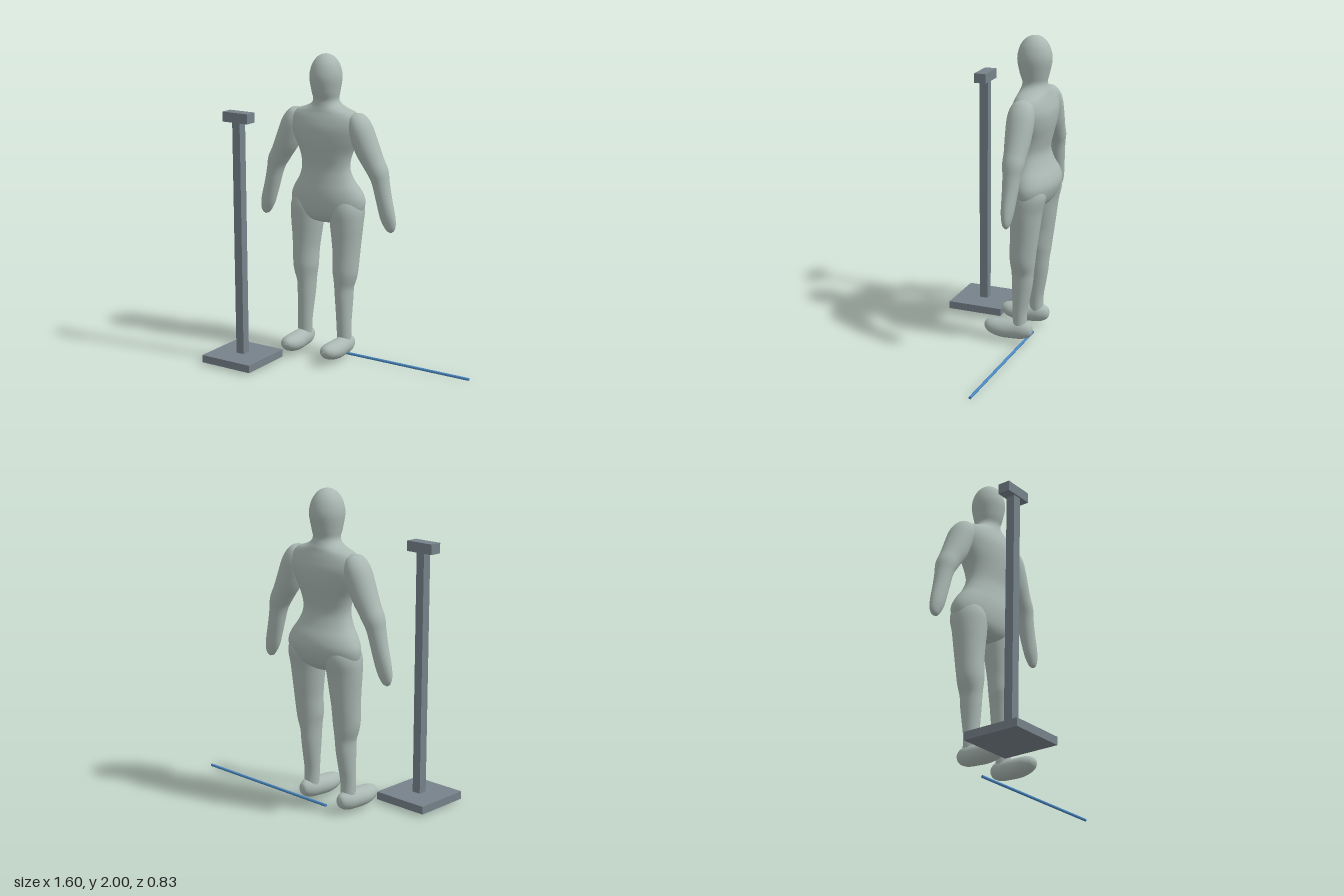
import * as THREE from 'three';

const BODY_X = -0.27;

// Smooth skin over elliptical rings. Each ring: [x, y, z, radius across, radius along `axis`].
function loft(rings, axis, steps = 5, sides = 36) {
  const path = new THREE.CatmullRomCurve3(
    rings.map(r => new THREE.Vector3(r[0], r[1], r[2])), false, 'catmullrom', 0.5);
  const radii = new THREE.CatmullRomCurve3(
    rings.map(r => new THREE.Vector3(r[3], r[4], 0)), false, 'catmullrom', 0.5);
  const count = (rings.length - 1) * steps;
  const positions = [], index = [];
  for (let i = 0; i <= count; i++) {
    const centre = path.getPoint(i / count);
    const radius = radii.getPoint(i / count);
    const across = path.getTangent(i / count).cross(axis).normalize();
    for (let j = 0; j < sides; j++) {
      const a = (j / sides) * Math.PI * 2;
      const p = centre.clone()
        .addScaledVector(across, Math.max(radius.x, 0.001) * Math.cos(a))
        .addScaledVector(axis, Math.max(radius.y, 0.001) * Math.sin(a));
      positions.push(p.x, p.y, p.z);
      if (i < count) {
        const k = (j + 1) % sides, n = i * sides, m = n + sides;
        index.push(n + j, m + j, n + k, n + k, m + j, m + k);
      }
    }
  }
  const geometry = new THREE.BufferGeometry();
  geometry.setAttribute('position', new THREE.Float32BufferAttribute(positions, 3));
  geometry.setIndex(index);
  geometry.computeVertexNormals();
  return geometry;
}

export function createModel() {
  const material = (name, color) => {
    const m = new THREE.MeshStandardMaterial({ color });
    m.name = name;
    return m;
  };
  const skin = material('pale grey green', 0xaab8b3);
  const metal = material('slate grey', 0x76828a);
  const blue = material('blue', 0x4a88c2);

  const model = new THREE.Group();
  model.name = 'figureWithStand';
  const add = (parent, name, geometry, mat, x = 0, y = 0, z = 0) => {
    const mesh = new THREE.Mesh(geometry, mat);
    mesh.name = name;
    mesh.position.set(x, y, z);
    parent.add(mesh);
    return mesh;
  };

  const Y = new THREE.Vector3(0, 1, 0);
  const Z = new THREE.Vector3(0, 0, 1);
  const figure = new THREE.Group();
  figure.name = 'figure';
  figure.position.x = BODY_X;
  model.add(figure);

  // Torso, neck and head: y, centre z, half width, half depth
  const trunk = [
    [0.893, -0.252, 0.001, 0.001], [0.91, -0.255, 0.12, 0.07],
    [0.95, -0.262, 0.235, 0.11], [1.0, -0.268, 0.266, 0.131],
    [1.06, -0.272, 0.272, 0.141], [1.12, -0.267, 0.247, 0.134],
    [1.19, -0.255, 0.2, 0.113], [1.27, -0.247, 0.175, 0.099],
    [1.36, -0.249, 0.19, 0.113], [1.45, -0.253, 0.235, 0.128],
    [1.53, -0.255, 0.265, 0.13], [1.59, -0.255, 0.262, 0.115],
    [1.63, -0.256, 0.22, 0.1], [1.655, -0.256, 0.15, 0.092],
    [1.678, -0.254, 0.104, 0.084], [1.71, -0.251, 0.086, 0.079],
    [1.76, -0.248, 0.093, 0.094], [1.85, -0.248, 0.105, 0.111],
    [1.92, -0.248, 0.092, 0.098], [1.965, -0.248, 0.066, 0.071],
    [1.99, -0.248, 0.036, 0.038], [2.0, -0.248, 0.001, 0.001],
  ].map(([y, z, rx, rz]) => [0, y, z, rx, rz]);
  add(figure, 'torsoAndHead', loft(trunk, Z, 4, 48), skin);

  // Arm from shoulder to fingertips
  const arm = [
    [0.205, 1.635, -0.255, 0.001, 0.001], [0.215, 1.615, -0.255, 0.04, 0.05],
    [0.235, 1.58, -0.256, 0.065, 0.076], [0.262, 1.52, -0.256, 0.079, 0.087],
    [0.308, 1.41, -0.257, 0.08, 0.082], [0.355, 1.325, -0.258, 0.071, 0.072],
    [0.39, 1.265, -0.258, 0.066, 0.068], [0.41, 1.2, -0.257, 0.057, 0.057],
    [0.433, 1.105, -0.255, 0.054, 0.049], [0.463, 0.995, -0.252, 0.053, 0.04],
    [0.481, 0.935, -0.252, 0.043, 0.03], [0.488, 0.9, -0.252, 0.026, 0.018],
    [0.49, 0.885, -0.252, 0.001, 0.001],
  ];

  // Leg from hip to ankle
  const leg = [
    [0.14, 1.08, -0.27, 0.09, 0.1], [0.15, 1.0, -0.266, 0.115, 0.118],
    [0.153, 0.9, -0.256, 0.111, 0.106], [0.155, 0.8, -0.252, 0.1, 0.097],
    [0.157, 0.7, -0.246, 0.09, 0.09], [0.155, 0.6, -0.238, 0.086, 0.085],
    [0.153, 0.55, -0.237, 0.079, 0.081], [0.147, 0.48, -0.236, 0.063, 0.073],
    [0.148, 0.4, -0.234, 0.058, 0.068], [0.151, 0.3, -0.228, 0.053, 0.057],
    [0.154, 0.2, -0.222, 0.049, 0.047], [0.157, 0.08, -0.225, 0.047, 0.047],
  ];

  // Foot from heel to toe
  const foot = [
    [0.16, 0.09, -0.31, 0.001, 0.001], [0.16, 0.09, -0.298, 0.032, 0.037],
    [0.16, 0.088, -0.25, 0.054, 0.06], [0.159, 0.083, -0.18, 0.06, 0.062],
    [0.157, 0.08, -0.1, 0.066, 0.06], [0.154, 0.085, -0.03, 0.058, 0.05],
    [0.151, 0.09, 0.01, 0.034, 0.03], [0.15, 0.092, 0.025, 0.001, 0.001],
  ];

  for (const [side, s] of [['left', 1], ['right', -1]]) {
    const mirror = rings => rings.map(([x, ...rest]) => [s * x, ...rest]);
    add(figure, side + 'Arm', loft(mirror(arm), Z), skin);
    add(figure, side + 'Leg', loft(mirror(leg), Z), skin);
    add(figure, side + 'Foot', loft(mirror(foot), Y), skin);
  }

  // Stand: square base, post and top block
  const stand = new THREE.Group();
  stand.name = 'stand';
  stand.position.set(-0.616, 0, 0.226);
  model.add(stand);
  add(stand, 'standBase', new THREE.BoxGeometry(0.374, 0.05, 0.374), metal, 0, 0.04, 0);
  add(stand, 'standPost', new THREE.BoxGeometry(0.058, 1.54, 0.058), metal, 0, 0.83, 0);
  add(stand, 'standTop', new THREE.BoxGeometry(0.192, 0.064, 0.08), metal, 0, 1.626, 0);

  // Thin rod lying on the ground
  const rod = add(model, 'groundRod',
    new THREE.CylinderGeometry(0.009, 0.009, 1.07, 16), blue, 0.265, 0.012, -0.256);
  rod.rotation.z = Math.PI / 2;

  return model;
}
